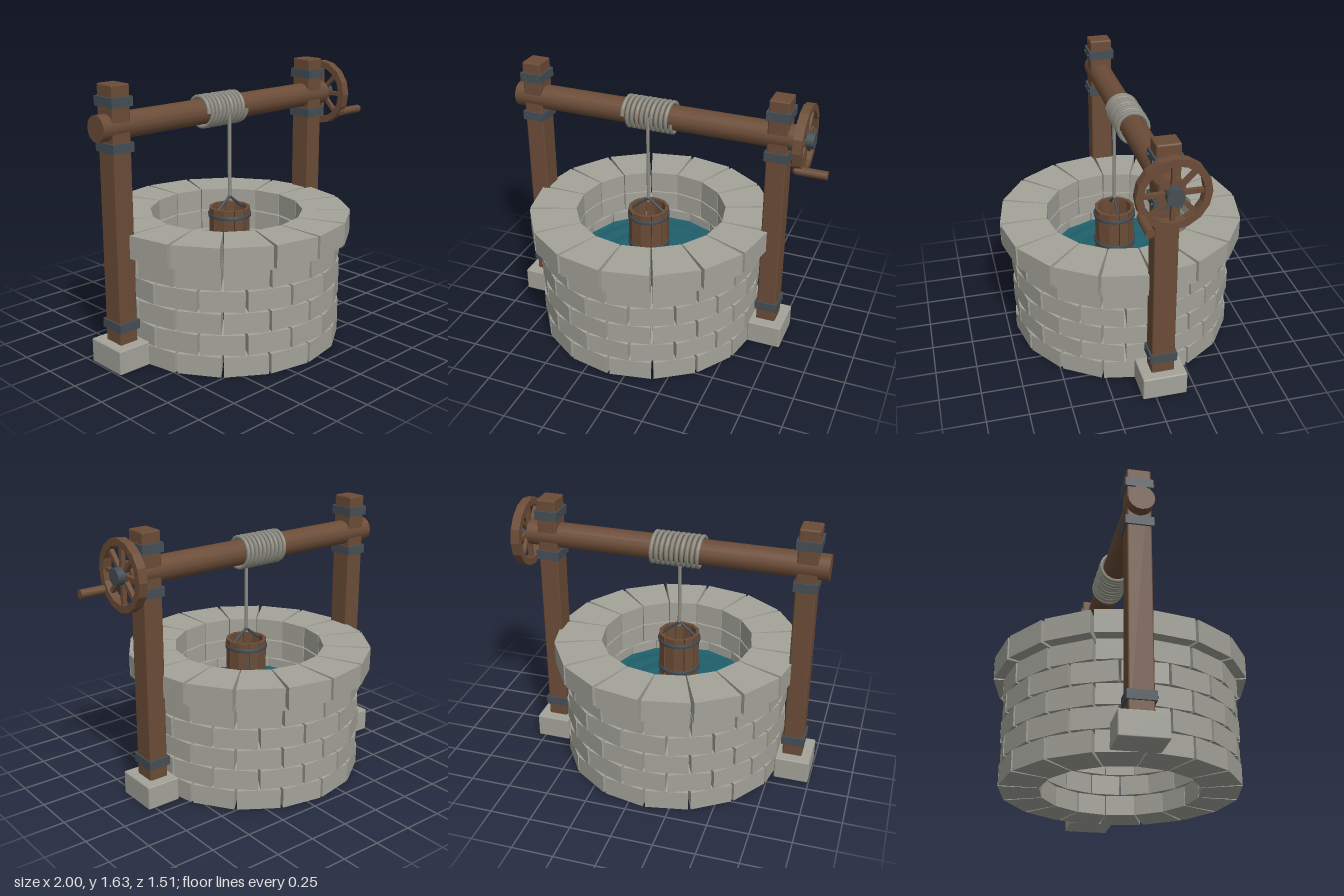
import * as THREE from 'three';
import { RoundedBoxGeometry } from 'three/addons/geometries/RoundedBoxGeometry.js';
import { mergeGeometries } from 'three/addons/utils/BufferGeometryUtils.js';

const mat = (name, color, opts = {}) => {
  const m = new THREE.MeshStandardMaterial({ color, ...opts });
  m.name = name;
  return m;
};

export function createModel() {
  const stone = mat('stone', 0xa3a39a);
  const wood = mat('wood', 0x6b4c37);
  const iron = mat('iron', 0x454e55);
  const rope = mat('rope', 0x8e8e84);
  const water = mat('water', 0x1f5f6b, { side: THREE.DoubleSide });

  const model = new THREE.Group();
  model.name = 'well';
  const add = (name, geo, material, x = 0, y = 0, z = 0) => {
    const mesh = new THREE.Mesh(geo, material);
    mesh.name = name;
    mesh.position.set(x, y, z);
    model.add(mesh);
    return mesh;
  };

  const CX = -0.1;              // well axis
  const BY = 1.4, BZ = -0.055;  // winch axis

  // Wedge block centred on the +x direction, resting on y = 0
  const wedge = (rIn, rOut, height, half, gapIn, gapOut) => {
    const aI = half - gapIn / rIn, aO = half - gapOut / rOut;
    const at = (r, a) => new THREE.Vector2(r * Math.cos(a), r * Math.sin(a));
    const shape = new THREE.Shape([at(rIn, -aI), at(rOut, -aO), at(rOut, aO), at(rIn, aI)]);
    return new THREE.ExtrudeGeometry(shape, { depth: height, bevelEnabled: false }).rotateX(-Math.PI / 2);
  };
  const ringOf = (count, offset, ...dims) => {
    const step = (Math.PI * 2) / count;
    return mergeGeometries(Array.from({ length: count }, (_, i) =>
      wedge(dims[0], dims[1], dims[2], step / 2, dims[3], dims[4]).rotateY((i + offset) * step)));
  };

  // Stone courses, staggered by half a block, and the wider coping
  for (let row = 0; row < 5; row++) {
    add('stoneCourse' + (row + 1), ringOf(16, row % 2 ? 0 : 0.5, 0.465, 0.697, 0.121, 0.003, 0.008),
      stone, CX, row * 0.13, 0);
  }
  add('coping', ringOf(16, 0.5, 0.465, 0.755, 0.137, 0.003, 0.01), stone, CX, 0.65, 0);

  // Rippled water
  const ripple = [];
  for (let i = 24; i >= 0; i--) {
    const r = 0.48 * i / 24;
    ripple.push(new THREE.Vector2(r, 0.004 * Math.cos(r * 52)));
  }
  add('water', new THREE.LatheGeometry(ripple, 48), water, CX, 0.45, 0);

  // Footings, posts and iron straps
  for (const side of [-1, 1]) {
    const px = CX + side * 0.777;
    add('footing', new RoundedBoxGeometry(0.212, 0.146, 0.27, 1, 0.008), stone, CX + side * 0.789, 0.073, BZ);
    add('post', new RoundedBoxGeometry(0.12, 1.5, 0.14, 1, 0.01), wood, px, 0.885, BZ);
    for (const y of [0.248, 1.288, 1.54]) {
      add('strap', new THREE.BoxGeometry(0.14, 0.055, 0.162), iron, px, y, BZ);
      for (const dx of [-0.045, 0.045]) {
        add('rivet', new THREE.CylinderGeometry(0.008, 0.008, 0.012, 8).rotateX(Math.PI / 2),
          iron, px + dx, y, BZ + 0.083);
      }
    }
  }

  // Winch beam
  const rodX = (r, len, sides) => new THREE.CylinderGeometry(r, r, len, sides).rotateZ(Math.PI / 2);
  add('beam', rodX(0.076, 1.81, 16), wood, -0.095, BY, BZ);

  // Crank wheel
  const rim = new THREE.Shape().absarc(0, 0, 0.208, 0, Math.PI * 2, false);
  rim.holes.push(new THREE.Path().absarc(0, 0, 0.166, 0, Math.PI * 2, true));
  add('wheelRim', new THREE.ExtrudeGeometry(rim, { depth: 0.053, bevelEnabled: false, curveSegments: 8 })
    .rotateY(Math.PI / 2), wood, 0.797, BY, BZ);
  for (let i = 0; i < 8; i++) {
    add('spoke', new THREE.BoxGeometry(0.026, 0.15, 0.024).translate(0, 0.105, 0).rotateX(i * Math.PI / 4),
      wood, 0.823, BY, BZ);
  }
  add('hub', rodX(0.05, 0.085, 10), iron, 0.838, BY, BZ);
  add('handlePin', rodX(0.018, 0.1, 10), wood, 0.86, 1.285, 0.115);
  add('handleGrip', rodX(0.026, 0.175, 10), wood, 0.9125, 1.285, 0.115);

  // Rope wound on the beam and hanging down
  const turns = 10, coil = [];
  for (let i = 0; i <= turns * 16; i++) {
    const a = (i / 16) * Math.PI * 2;
    coil.push(new THREE.Vector3(-0.267 + 0.306 * i / (turns * 16), 0.091 * Math.sin(a), 0.091 * Math.cos(a)));
  }
  add('ropeCoil', new THREE.TubeGeometry(new THREE.CatmullRomCurve3(coil), turns * 20, 0.0125, 6),
    rope, 0, BY, BZ);
  const RX = -0.103, RZ = 0.033;
  add('hangingRope', new THREE.CylinderGeometry(0.011, 0.011, 0.56, 8), rope, RX, 1.13, RZ);

  // Bucket of staves with hoops and a bail
  add('bucketStaves', ringOf(12, 0.5, 0.106, 0.126, 0.28, 0.001, 0.003), wood, RX, 0.53, RZ);
  add('bucketBottom', new THREE.CylinderGeometry(0.107, 0.107, 0.015, 12), wood, RX, 0.54, RZ);
  add('bucketWater', new THREE.CircleGeometry(0.107, 24).rotateX(-Math.PI / 2), water, RX, 0.64, RZ);
  for (const y of [0.58, 0.765]) {
    const hoop = [[0.124, -0.011], [0.131, -0.011], [0.131, 0.011], [0.124, 0.011]]
      .map(p => new THREE.Vector2(...p));
    add('bucketHoop', new THREE.LatheGeometry(hoop, 24), iron, RX, y, RZ);
  }
  for (const side of [-1, 1]) {
    const arm = new THREE.LineCurve3(new THREE.Vector3(side * 0.112, 0.785, 0), new THREE.Vector3(0, 0.875, 0));
    add('bail', new THREE.TubeGeometry(arm, 1, 0.008, 6), iron, RX, 0, RZ);
  }
  add('bailKnot', new THREE.SphereGeometry(0.014, 10, 8), iron, RX, 0.87, RZ);

  return model;
}
